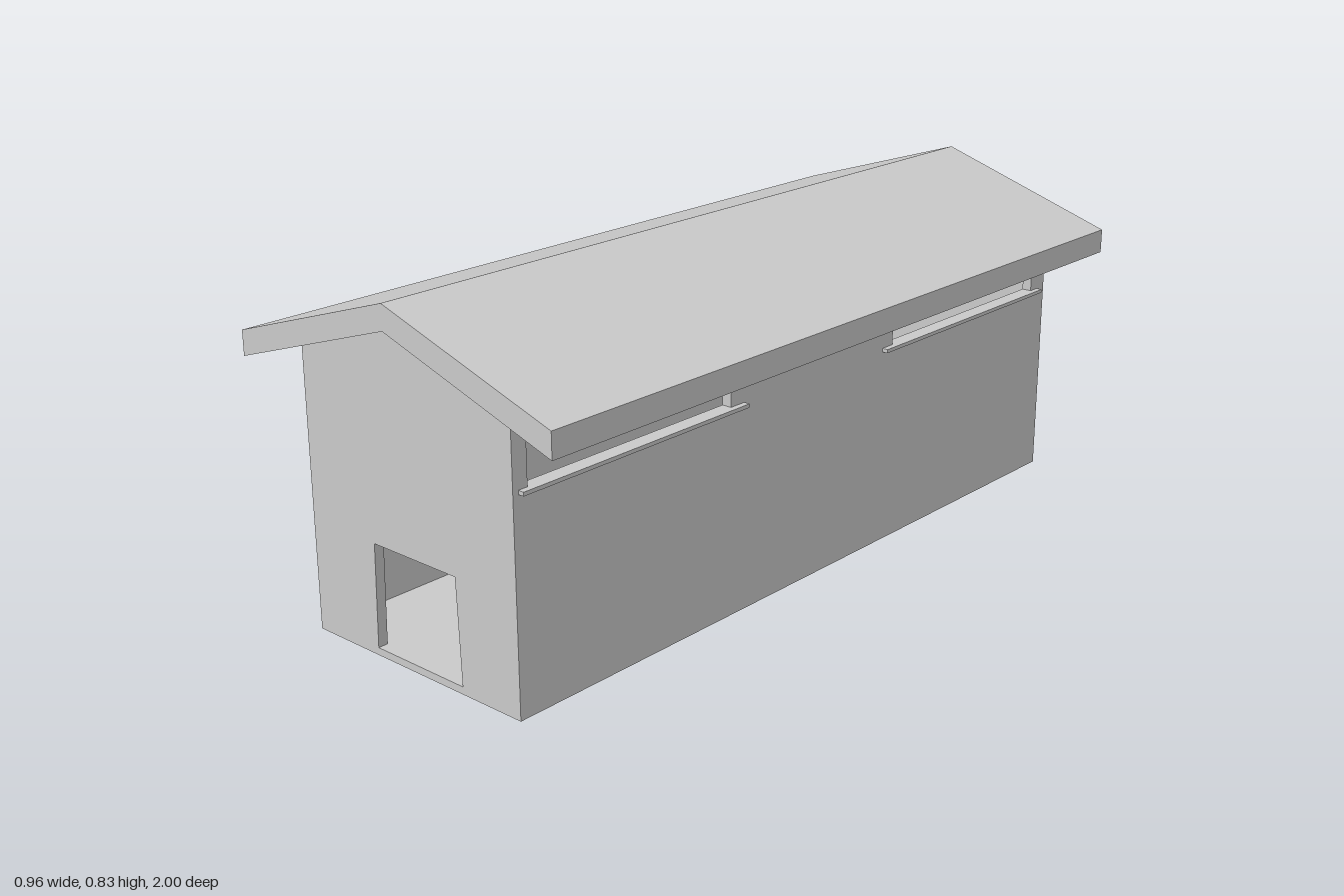
import * as THREE from 'three';

const material = new THREE.MeshStandardMaterial({ color: 0xcccccc });

const WALL_L = -0.317, WALL_R = 0.33;   // outer faces of the side walls
const FRONT = 0.965, BACK = -0.972;     // outer faces of the end walls
const THICK = 0.025, FLOOR = 0.018;
const underside = (x) => 0.773 - Math.abs(x) * 0.323; // roof underside height at x

function add(group, name, geometry, x = 0, y = 0, z = 0) {
  const mesh = new THREE.Mesh(geometry, material);
  mesh.name = name;
  mesh.position.set(x, y, z);
  group.add(mesh);
  return mesh;
}

const outline = (points) => new THREE.Shape(points.map(([x, y]) => new THREE.Vector2(x, y)));
const extrude = (shape, depth) => new THREE.ExtrudeGeometry(shape, { depth, bevelEnabled: false });

// Gable wall drawn in x/y; the doorway notch tapers toward its top
function gable(withDoor) {
  const door = withDoor ? [[-0.118, FLOOR], [-0.111, 0.267], [0.146, 0.267], [0.155, FLOOR]] : [];
  return outline([
    [WALL_L, FLOOR], ...door, [WALL_R, FLOOR],
    [WALL_R, underside(WALL_R)], [0, underside(0)], [WALL_L, underside(WALL_L)],
  ]);
}

// Side wall drawn in z/y with two long windows under the eaves
const windows = [[0.31, 0.925], [-0.91, -0.29]];
function sideWall() {
  const top = underside(WALL_R);
  const z0 = BACK + THICK, z1 = FRONT - THICK;
  const shape = outline([[z0, FLOOR], [z1, FLOOR], [z1, top], [z0, top]]);
  for (const [a, b] of windows) {
    shape.holes.push(outline([[a, 0.5], [a, 0.635], [b, 0.635], [b, 0.5]]));
  }
  // turn the z/y drawing so that its depth runs along -x
  return extrude(shape, THICK).rotateY(-Math.PI / 2);
}

export function createModel() {
  const model = new THREE.Group();
  model.name = 'gabledShed';

  // Floor slab
  const centre = (WALL_L + WALL_R) / 2;
  add(model, 'floor', new THREE.BoxGeometry(WALL_R - WALL_L, FLOOR, FRONT - BACK),
    centre, FLOOR / 2, (FRONT + BACK) / 2);

  // End walls
  add(model, 'frontWall', extrude(gable(true), THICK), 0, 0, FRONT - THICK);
  add(model, 'backWall', extrude(gable(false), THICK), 0, 0, BACK);

  // Side walls and their window sills
  for (const [side, outer] of [['left', WALL_R], ['right', WALL_L]]) {
    const sign = Math.sign(outer);
    add(model, side + 'Wall', sideWall(), sign > 0 ? outer : outer + THICK, 0, 0);
    for (const [z0, z1] of [[0.265, 0.95], [-0.94, -0.25]]) {
      add(model, side + 'WindowSill', new THREE.BoxGeometry(0.04, 0.009, z1 - z0),
        outer - sign * 0.005, 0.499, (z0 + z1) / 2);
    }
  }

  // Roof: one thick bent sheet overhanging every wall
  const roof = outline([
    [-0.48, 0.618], [0, 0.773], [0.48, 0.618],
    [0.48, 0.678], [0, 0.832], [-0.48, 0.678],
  ]);
  add(model, 'roof', extrude(roof, 2), 0, 0, -1);

  return model;
}
